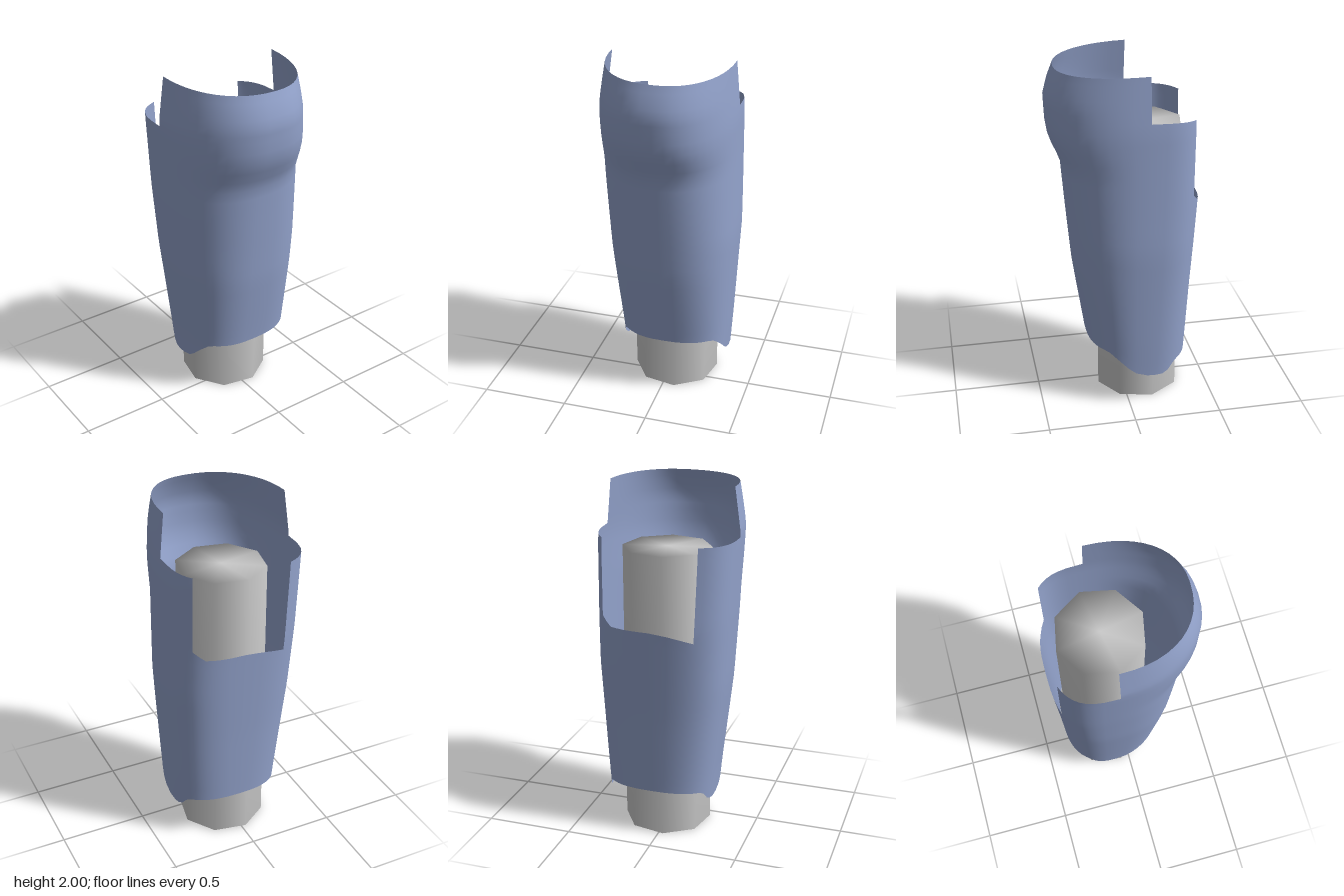
import * as THREE from 'three';
import { mergeVertices } from 'three/addons/utils/BufferGeometryUtils.js';

// Piecewise-linear lookup in a list of [position, value] pairs
function lookup(pairs, p) {
  if (p <= pairs[0][0]) return pairs[0][1];
  for (let i = 1; i < pairs.length; i++) {
    const [p0, v0] = pairs[i - 1], [p1, v1] = pairs[i];
    if (p <= p1) return v0 + (v1 - v0) * (p - p0) / (p1 - p0);
  }
  return pairs[pairs.length - 1][1];
}

// Sleeve outline by height: each side's reach
const RIGHT = [[0.19, 0.2], [0.36, 0.21], [0.65, 0.255], [0.82, 0.28], [1.15, 0.31], [1.45, 0.335],
  [1.56, 0.385], [1.64, 0.412], [1.82, 0.42], [1.9, 0.4], [2, 0.36]];
const LEFT = [[0.19, -0.36], [0.27, -0.367], [0.7, -0.387], [1.26, -0.42], [2, -0.42]];
const FRONT = [[0.19, 0.27], [0.35, 0.285], [0.9, 0.345], [1.3, 0.37], [1.75, 0.39], [2, 0.355]];
const BACK = [[0.19, -0.35], [0.4, -0.362], [1, -0.39], [1.7, -0.378], [2, -0.35]];
// Scalloped lower hem by x, and lower lip of the side opening by angle
const HEM = [[-0.37, 0.275], [-0.27, 0.262], [-0.23, 0.21], [-0.19, 0.19], [-0.1, 0.195], [-0.02, 0.22],
  [0.06, 0.3], [0.11, 0.345], [0.14, 0.355], [0.21, 0.355]];
const LIP = [[150, 1.2], [180, 1.245], [210, 1.25], [225, 1.3]];

const CX = -0.1, CZ = -0.025;

// Point on the sleeve: superellipse quarters around an off-centre axis
function sleevePoint(deg, y) {
  const t = THREE.MathUtils.degToRad(deg);
  let c = Math.cos(t), s = Math.sin(t);
  if (Math.abs(c) < 1e-9) c = 0;
  if (Math.abs(s) < 1e-9) s = 0;
  const k = THREE.MathUtils.clamp((y - 0.2) / 1.5, 0, 1);
  const n = c >= 0 ? 2.65 - 0.4 * k : 2.6 + 0.55 * k;
  const a = (c >= 0 ? lookup(RIGHT, y) : lookup(LEFT, y)) - CX;
  const b = (s >= 0 ? lookup(FRONT, y) : lookup(BACK, y)) - CZ;
  return [CX + Math.abs(a) * Math.sign(c) * Math.abs(c) ** (2 / n),
    y, CZ + Math.abs(b) * Math.sign(s) * Math.abs(s) ** (2 / n)];
}

const hemY = (deg) => lookup(HEM, sleevePoint(deg, 0.3)[0]);
const lipY = (deg) => (deg >= 150 && deg <= 225 ? lookup(LIP, deg)
  : lookup([[-135, 1.3], [150, 1.2]], deg > 225 ? deg - 360 : deg));
const shoulderY = (deg) => lookup([[-135, 1.735], [-90, 1.75], [90, 1.728], [150, 1.728]], deg);
const rimY = (deg) => 2 - 0.014 * Math.max(0, Math.cos(THREE.MathUtils.degToRad(deg)));

// Adds a band of the sleeve between two heights over a range of angles
function addBand(positions, indices, from, to, low, high, rows) {
  const step = 7.5, cols = Math.round((to - from) / step), start = positions.length / 3;
  for (let i = 0; i <= cols; i++) {
    const deg = from + i * step;
    for (let j = 0; j <= rows; j++) {
      positions.push(...sleevePoint(deg, THREE.MathUtils.lerp(low(deg), high(deg), j / rows)));
    }
  }
  for (let i = 0; i < cols; i++) {
    for (let j = 0; j < rows; j++) {
      const a = start + i * (rows + 1) + j, b = a + rows + 1;
      indices.push(a, a + 1, b, b, a + 1, b + 1);
    }
  }
}

function sleeveGeometry() {
  const positions = [], indices = [];
  addBand(positions, indices, -135, 225, hemY, lipY, 14);       // closed lower tube
  addBand(positions, indices, -135, 150, lipY, shoulderY, 8);   // wall around the side opening
  addBand(positions, indices, -90, 90, shoulderY, rimY, 6);     // raised top collar
  const geometry = new THREE.BufferGeometry();
  geometry.setAttribute('position', new THREE.Float32BufferAttribute(positions, 3));
  geometry.setIndex(indices);
  const welded = mergeVertices(geometry, 1e-4);
  welded.computeVertexNormals();
  return welded;
}

// Eight-sided core with softly shaded edges
function coreGeometry() {
  const height = 1.65;
  const geometry = new THREE.CylinderGeometry(0.25, 0.25, height, 8, 1);
  geometry.deleteAttribute('normal');
  geometry.deleteAttribute('uv');
  const welded = mergeVertices(geometry, 1e-4);
  welded.rotateY(THREE.MathUtils.degToRad(11));
  welded.translate(-0.102, height / 2, -0.022);
  welded.computeVertexNormals();
  return welded;
}

export function createModel() {
  const group = new THREE.Group();
  group.name = 'sleeveOnCore';

  const sleeve = new THREE.Mesh(sleeveGeometry(),
    new THREE.MeshStandardMaterial({ color: 0x93a3cc, side: THREE.DoubleSide }));
  sleeve.name = 'sleeve';

  const core = new THREE.Mesh(coreGeometry(), new THREE.MeshStandardMaterial({ color: 0xcccccc }));
  core.name = 'core';

  group.add(sleeve, core);
  return group;
}
